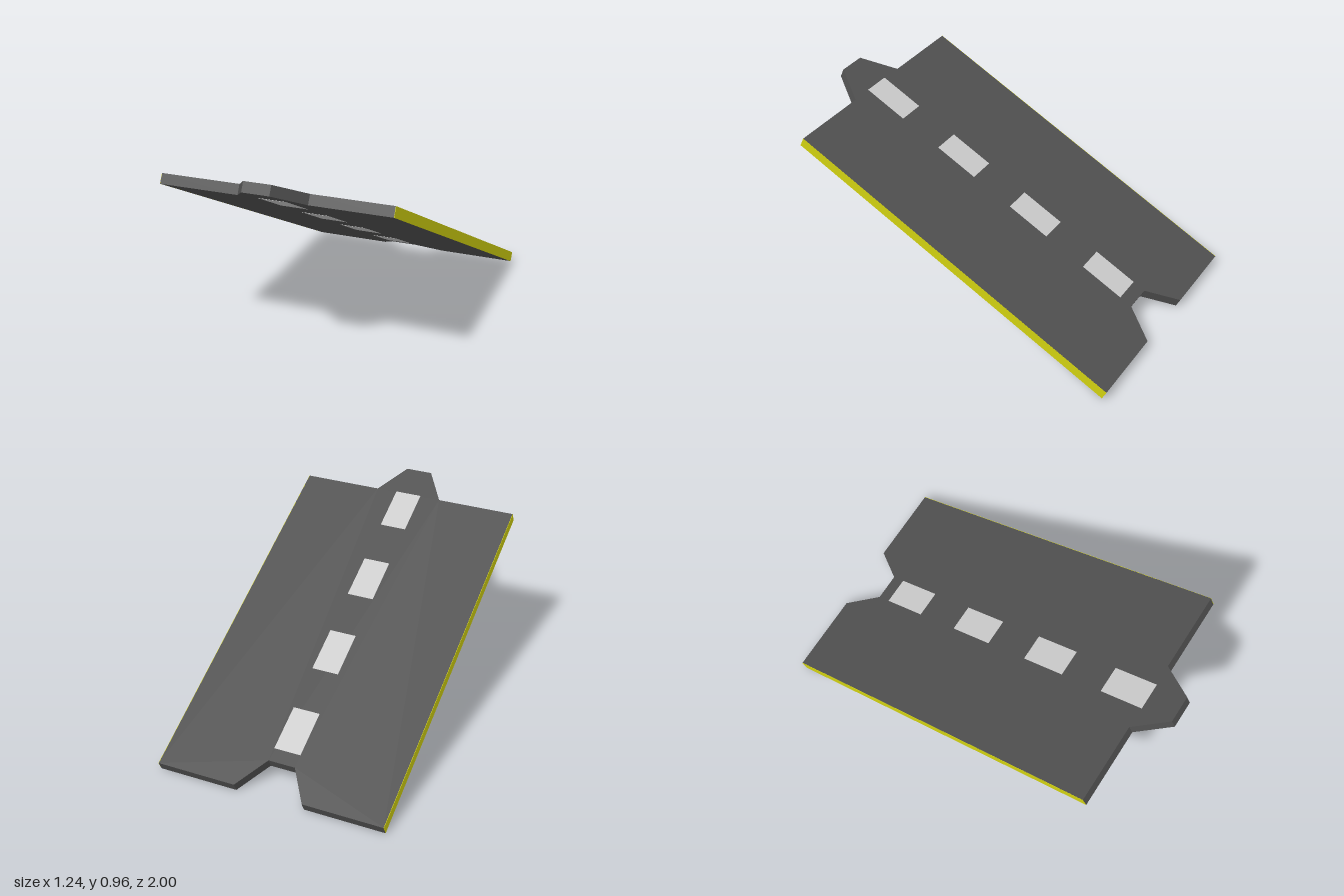
import * as THREE from 'three';

const SLOPE = 0.4297; // ramp angle in radians
const THICK = 0.054;
const HALF_WIDTH = 0.62;
const BACK = -0.978, FRONT = 0.835, NOTCH = -0.817, TAB = 1.0; // level distances on the underside
const along = z => z / Math.cos(SLOPE); // level distance to distance along the slab

const paint = color => new THREE.MeshStandardMaterial({ color });

export function createModel() {
  const group = new THREE.Group();
  const slab = new THREE.Group();
  slab.name = 'tiltedRoad';
  slab.rotation.x = -SLOPE;
  slab.position.y = -BACK * Math.tan(SLOPE);
  group.add(slab);

  const asphalt = paint(0x505050), white = paint(0xcccccc), yellow = paint(0xd0d010);

  const add = (name, geometry, material, x = 0, y = 0, z = 0) => {
    const mesh = new THREE.Mesh(geometry, material);
    mesh.name = name;
    mesh.position.set(x, y, z);
    slab.add(mesh);
  };

  // Road deck with a tab on the high end and a matching notch on the low end
  const edge = HALF_WIDTH - 0.001;
  const half = [[0.073, TAB], [0.187, FRONT], [edge, FRONT], [edge, BACK], [0.187, BACK], [0.073, NOTCH]];
  const outline = [...half, ...half.map(([x, z]) => [-x, z]).reverse()];
  const shape = new THREE.Shape(outline.map(([x, z]) => new THREE.Vector2(x, -along(z))));
  const deck = new THREE.ExtrudeGeometry(shape, { depth: THICK, bevelEnabled: false });
  deck.rotateX(-Math.PI / 2);
  add('roadDeck', deck, asphalt);

  // Yellow strips covering both long edges
  const length = along(FRONT - BACK);
  for (const side of [-1, 1]) {
    add(side > 0 ? 'leftEdgeStrip' : 'rightEdgeStrip', new THREE.BoxGeometry(0.002, THICK, length), yellow,
      side * (HALF_WIDTH - 0.001), THICK / 2, along((FRONT + BACK) / 2));
  }

  // Centre line dashes, showing on the top and the underside
  const dash = new THREE.BoxGeometry(0.146, THICK + 0.002, along(0.228));
  for (let i = 0; i < 4; i++) {
    add('centreDash' + (i + 1), dash, white, 0, THICK / 2, along(-0.637 + i * 0.4537));
  }
  return group;
}
